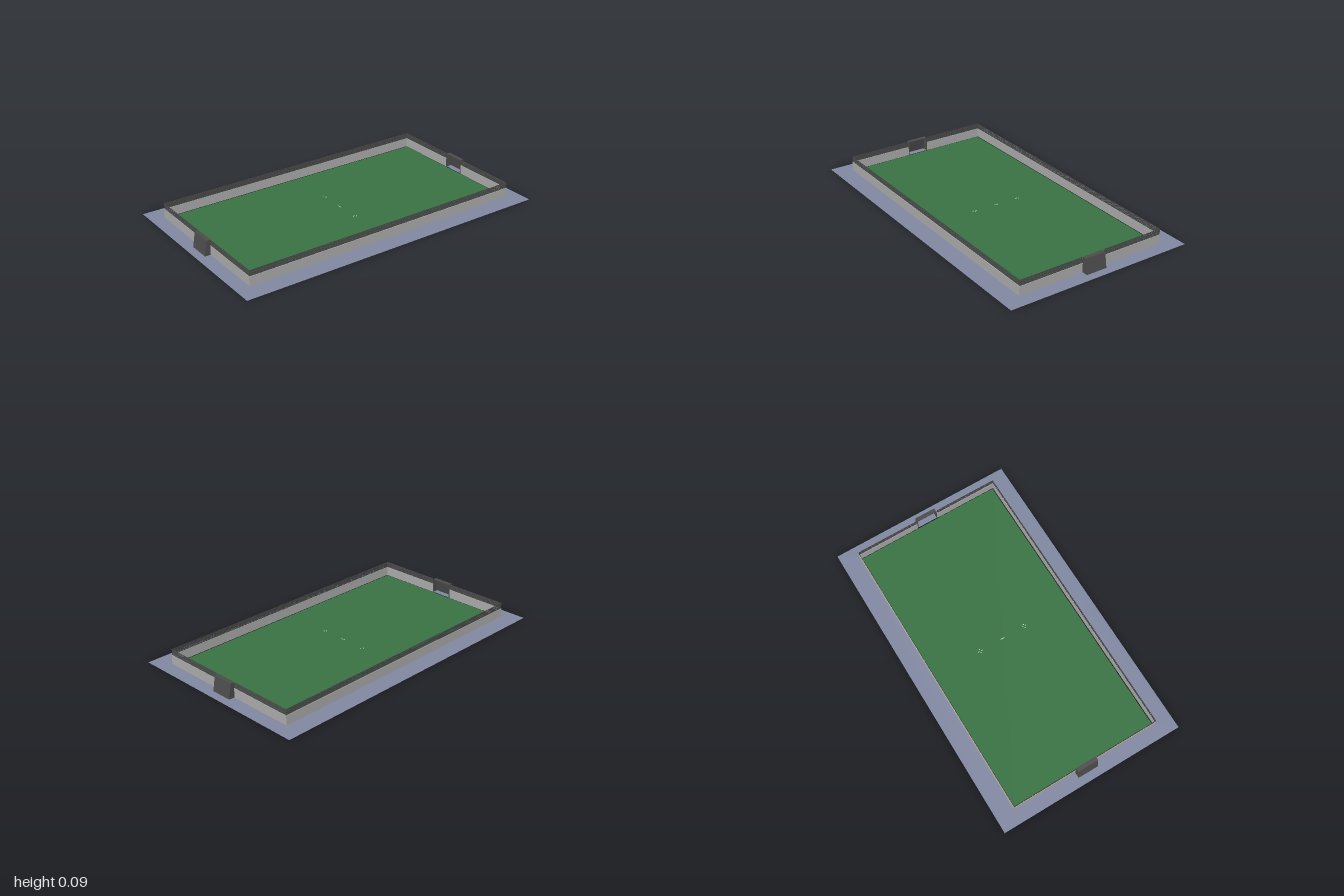
import * as THREE from 'three';
import { mergeGeometries } from 'three/addons/utils/BufferGeometryUtils.js';

const mat = (name, color) =>
  new THREE.MeshStandardMaterial({ name, color, side: THREE.DoubleSide });

const WALL_X = 0.48, WALL_Z = 0.912, OPENING = 0.07;
const WALL_H = 0.058, NET_TOP = 0.095;

// Flat net panel in the xy plane, woven from wide flat strands with small holes
function netPanel(width, height, cell = 0.009, strand = 0.006) {
  const parts = [];
  const cols = Math.round(width / cell), rows = Math.max(2, Math.round(height / cell));
  for (let i = 0; i <= cols; i++) {
    const x = -width / 2 + strand / 2 + (i / cols) * (width - strand);
    parts.push(new THREE.PlaneGeometry(strand, height).translate(x, 0, 0));
  }
  for (let j = 0; j <= rows; j++) {
    const y = -height / 2 + strand / 2 + (j / rows) * (height - strand);
    parts.push(new THREE.PlaneGeometry(width, strand).translate(0, y, 0));
  }
  return mergeGeometries(parts);
}

// Flat polygon from a list of [x, y] corners
function polygon(points) {
  return new THREE.ShapeGeometry(new THREE.Shape(points.map(p => new THREE.Vector2(...p))));
}

export function createModel() {
  const model = new THREE.Group();
  model.name = 'sportsPitch';
  const paving = mat('blueGreyPaving', 0x8088a2);
  const turf = mat('greenTurf', 0x387243);
  const board = mat('greyBoard', 0xacacac);
  const net = mat('darkNet', 0x4c4c4c);
  const paint = mat('whitePaint', 0xe8efe8);

  const add = (parent, name, geometry, material, x = 0, y = 0, z = 0) => {
    const mesh = new THREE.Mesh(geometry, material);
    mesh.name = name;
    mesh.position.set(x, y, z);
    parent.add(mesh);
    return mesh;
  };

  // Paved surround with an opening for the turf
  const surround = new THREE.Shape([[-0.595, -1], [0.595, -1], [0.595, 1], [-0.595, 1]]
    .map(p => new THREE.Vector2(...p)));
  surround.holes.push(new THREE.Path([[-WALL_X, -WALL_Z], [-WALL_X, WALL_Z], [WALL_X, WALL_Z], [WALL_X, -WALL_Z]]
    .map(p => new THREE.Vector2(...p))));
  add(model, 'surround', new THREE.ShapeGeometry(surround).rotateX(-Math.PI / 2), paving);

  // Turf, leaving a narrow gap along the walls
  add(model, 'turf', new THREE.PlaneGeometry(0.945, 1.813).rotateX(-Math.PI / 2), turf);

  // Small painted marks on the halfway line
  const mark = (w, d, x, z) =>
    add(model, 'pitchMark', new THREE.PlaneGeometry(w, d).rotateX(-Math.PI / 2), paint, x, 0.001, z);
  mark(0.03, 0.004, 0, -0.006);
  for (const s of [-1, 1]) {
    for (const d of [-1, 1]) {
      mark(0.007, 0.004, s * 0.155 + d * 0.011, -0.006);
      mark(0.004, 0.007, s * 0.155, -0.006 + d * 0.011);
    }
  }

  // Side walls with netting above
  const netH = NET_TOP - WALL_H, netY = (NET_TOP + WALL_H) / 2;
  const sideNet = netPanel(2 * WALL_Z, netH).rotateY(Math.PI / 2);
  for (const s of [-1, 1]) {
    add(model, 'sideWall', new THREE.BoxGeometry(0.006, WALL_H, 2 * WALL_Z), board, s * WALL_X, WALL_H / 2, 0);
    add(model, 'sideNet', sideNet, net, s * (WALL_X - 0.001), netY, 0);
  }

  // End walls either side of each goal opening
  const boardW = WALL_X - OPENING, netW = WALL_X - 0.075;
  const endNet = netPanel(netW, netH);
  for (const e of [-1, 1]) {
    for (const s of [-1, 1]) {
      add(model, 'endWall', new THREE.BoxGeometry(boardW, WALL_H, 0.006), board,
        s * (OPENING + boardW / 2), WALL_H / 2, e * WALL_Z);
      add(model, 'endNet', endNet, net, s * (0.075 + netW / 2), netY, e * WALL_Z);
    }
  }

  // Goals: sloping back, flat roof, tapered sides and a front frame
  const half = 0.067, goalH = 0.092, mouth = 0.91, roofBack = 0.934, floorBack = 0.95;
  const lean = floorBack - roofBack;
  for (const e of [0, 1]) {
    const goal = new THREE.Group();
    goal.name = e ? 'backGoal' : 'frontGoal';
    goal.rotation.y = e * Math.PI;
    const back = new THREE.PlaneGeometry(2 * half, Math.hypot(goalH, lean))
      .rotateX(-Math.atan2(lean, goalH));
    add(goal, 'goalBack', back, net, 0, goalH / 2, (roofBack + floorBack) / 2);
    add(goal, 'goalRoof', new THREE.PlaneGeometry(2 * half, roofBack - mouth).rotateX(-Math.PI / 2), net,
      0, goalH, (mouth + roofBack) / 2);
    const side = polygon([[-mouth, 0], [-mouth, goalH], [-roofBack, goalH], [-floorBack, 0]])
      .rotateY(Math.PI / 2);
    for (const s of [-1, 1]) {
      add(goal, 'goalSide', side, net, s * half, 0, 0);
      add(goal, 'goalPost', new THREE.BoxGeometry(0.004, goalH, 0.004), net, s * half, goalH / 2, mouth);
    }
    add(goal, 'crossbar', new THREE.BoxGeometry(2 * half + 0.004, 0.004, 0.004), net, 0, goalH - 0.002, mouth);
    model.add(goal);
  }
  return model;
}
